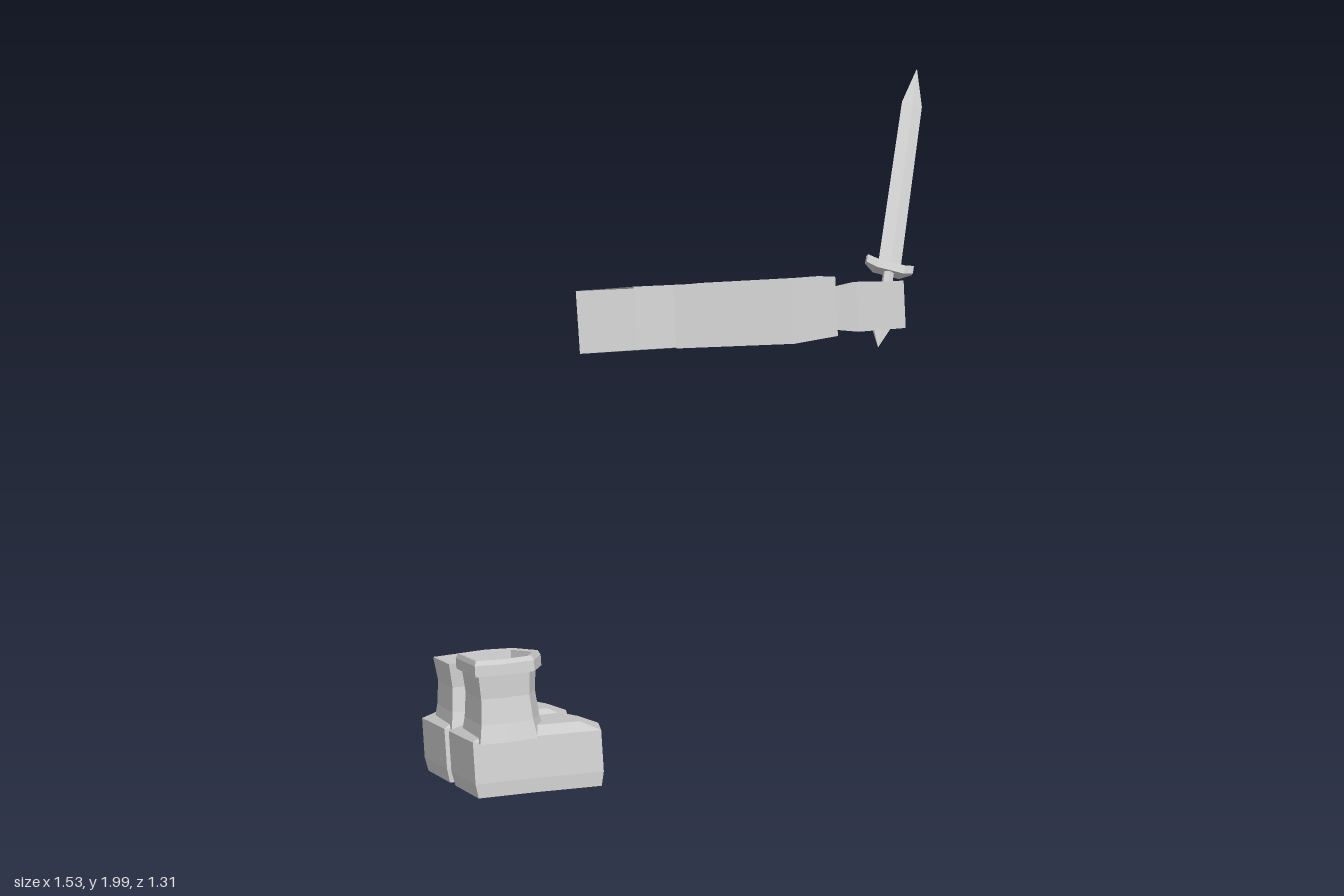
import * as THREE from 'three';

const mat = new THREE.MeshStandardMaterial({ color: 0xcccccc, flatShading: true, side: THREE.DoubleSide });

// Skins a list of point rings, with optional fan caps, turned so that faces point outwards
function loft(name, rings, capStart = true, capEnd = true) {
  const tris = [];
  const n = rings[0].length;
  for (let r = 0; r < rings.length - 1; r++) {
    for (let i = 0; i < n; i++) {
      const j = (i + 1) % n;
      const a = rings[r][i], b = rings[r][j], c = rings[r + 1][j], d = rings[r + 1][i];
      tris.push([a, b, c], [a, c, d]);
    }
  }
  const cap = (ring, flip) => {
    const mid = [0, 1, 2].map(k => ring.reduce((s, p) => s + p[k], 0) / n);
    ring.forEach((p, i) => {
      const q = ring[(i + 1) % n];
      tris.push(flip ? [mid, q, p] : [mid, p, q]);
    });
  };
  if (capStart) cap(rings[0], true);
  if (capEnd) cap(rings[rings.length - 1], false);

  const origin = new THREE.Vector3(...rings[0][0]);
  let volume = 0;
  for (const t of tris) {
    const [a, b, c] = t.map(p => new THREE.Vector3(...p).sub(origin));
    volume += a.dot(b.cross(c));
  }
  if (volume < 0) tris.forEach(t => t.reverse());

  const geo = new THREE.BufferGeometry();
  geo.setAttribute('position', new THREE.Float32BufferAttribute(tris.flat(2), 3));
  geo.computeVertexNormals();
  const mesh = new THREE.Mesh(geo, mat);
  mesh.name = name;
  return mesh;
}

// Upright slab following a plan; station = [outer x, outer z, inner x, inner z, bottom, top]
function slab(name, stations, openStart = false) {
  const rings = stations.map(([ox, oz, ix, iz, lo, hi]) =>
    [[ox, lo, oz], [ox, hi, oz], [ix, hi, iz], [ix, lo, iz]]);
  return loft(name, rings, !openStart);
}

function arm(name, tilt, sleeve, fingers, thumb) {
  const g = new THREE.Group();
  g.name = name;
  g.rotation.x = tilt;
  g.add(slab('sleeve', sleeve, true), slab('palmAndFingers', fingers), slab('thumb', thumb));
  return g;
}

// Boot outlines in plan, [x, z]
const footPlan = [[-0.765, 0.06], [-0.75, 0.335], [-0.58, 0.33], [-0.39, 0.34],
  [-0.362, 0.19], [-0.4, 0.045], [-0.57, 0.07]];
const shaftPlan = [[-0.73, 0.125], [-0.65, 0.095], [-0.58, 0.115], [-0.535, 0.22],
  [-0.575, 0.325], [-0.655, 0.35], [-0.725, 0.342]];

function scaledRing(plan, scale, y, cx, cz) {
  return plan.map(([x, z]) => [cx + (x - cx) * scale, y, cz + (z - cz) * scale]);
}

function boot(name, cuffed) {
  const g = new THREE.Group();
  g.name = name;
  const foot = [[0.96, 0], [1, 0.04], [1, 0.155], [0.72, 0.18]];
  g.add(loft('foot', foot.map(([s, y]) => scaledRing(footPlan, s, y, -0.57, 0.195))));
  // Shaft wall, rim and hollow inside
  const rim = cuffed
    ? [[0.98, 0.335], [1.13, 0.335], [1.13, 0.365], [1.06, 0.378], [0.92, 0.375]]
    : [[1, 0.325], [1.02, 0.338], [0.88, 0.338]];
  const shaft = [[1.1, 0.15], [0.99, 0.2], [0.92, 0.27], ...rim, [0.82, 0.2]];
  g.add(loft('shaft', shaft.map(([s, y]) => scaledRing(shaftPlan, s, y, -0.645, 0.225)), false));
  return g;
}

function sword() {
  const g = new THREE.Group();
  g.name = 'sword';
  const up = new THREE.Vector3(0.195, 0.52, -0.33).normalize();
  const side = new THREE.Vector3(0.14, -0.04, 0.02);
  side.addScaledVector(up, -side.dot(up)).normalize();
  const depth = new THREE.Vector3().crossVectors(side, up);
  g.quaternion.setFromRotationMatrix(new THREE.Matrix4().makeBasis(side, up, depth));
  g.position.set(0.572, 1.48, 0.26);

  // Diamond-section blade
  const diamond = (w, t, y) => [[w, y, 0], [0, y, t], [-w, y, 0], [0, y, -t]];
  g.add(loft('blade', [diamond(0.034, 0.011, 0), diamond(0.031, 0.01, 0.53), diamond(0.001, 0.001, 0.645)]));

  // Guard, thicker in the middle and swept up at the tips
  const guard = [[-0.07, 0.013, 0.012, 0.008], [-0.04, 0, 0.013, 0.022], [0.04, 0, 0.013, 0.022], [0.07, 0.013, 0.012, 0.008]];
  g.add(loft('guard', guard.map(([x, y, h, d]) =>
    [[x, y - h, -d], [x, y + h, -d], [x, y + h, d], [x, y - h, d]])));

  const grip = new THREE.Mesh(new THREE.CylinderGeometry(0.016, 0.016, 0.17, 6), mat);
  grip.name = 'grip';
  grip.position.y = -0.085;
  // Pointed pommel
  const pommel = new THREE.Mesh(new THREE.ConeGeometry(0.042, 0.085, 6), mat);
  pommel.name = 'pommel';
  pommel.scale.z = 0.5;
  pommel.rotation.x = Math.PI;
  pommel.position.y = -0.202;
  g.add(grip, pommel);
  return g;
}

export function createModel() {
  const model = new THREE.Group();

  model.add(arm('swordArm', -0.19,
    [[-0.11, 0.687, 0, 0.565, 1.225, 1.397], [0.21, 0.748, 0.26, 0.609, 1.22, 1.397], [0.35, 0.712, 0.345, 0.574, 1.232, 1.397]],
    [[0.34, 0.695, 0.34, 0.61, 1.25, 1.36], [0.41, 0.713, 0.42, 0.665, 1.24, 1.378], [0.565, 0.672, 0.535, 0.63, 1.24, 1.372], [0.6, 0.575, 0.555, 0.555, 1.255, 1.37]],
    [[0.34, 0.655, 0.34, 0.59, 1.25, 1.36], [0.42, 0.632, 0.41, 0.59, 1.245, 1.368], [0.495, 0.577, 0.48, 0.552, 1.255, 1.36]]));

  model.add(arm('freeArm', -0.25,
    [[-0.157, -0.193, 0, -0.09, 1.19, 1.383], [0.167, -0.339, 0.26, -0.19, 1.19, 1.383], [0.328, -0.339, 0.35, -0.19, 1.2, 1.377]],
    [[0.33, -0.305, 0.34, -0.22, 1.215, 1.35], [0.395, -0.324, 0.4, -0.275, 1.21, 1.358], [0.557, -0.309, 0.535, -0.27, 1.215, 1.358], [0.615, -0.222, 0.582, -0.212, 1.24, 1.36]],
    [[0.33, -0.27, 0.34, -0.205, 1.215, 1.35], [0.4, -0.25, 0.4, -0.205, 1.21, 1.357], [0.507, -0.237, 0.507, -0.21, 1.215, 1.353]]));

  model.add(sword());

  // Pair of boots on a shared tilt
  const boots = new THREE.Group();
  boots.name = 'boots';
  boots.rotation.x = -0.235;
  const leftBoot = boot('plainBoot', false);
  const rightBoot = boot('cuffedBoot', true);
  rightBoot.position.set(0.018, 0, 0.325);
  boots.add(leftBoot, rightBoot);
  model.add(boots);

  return model;
}
